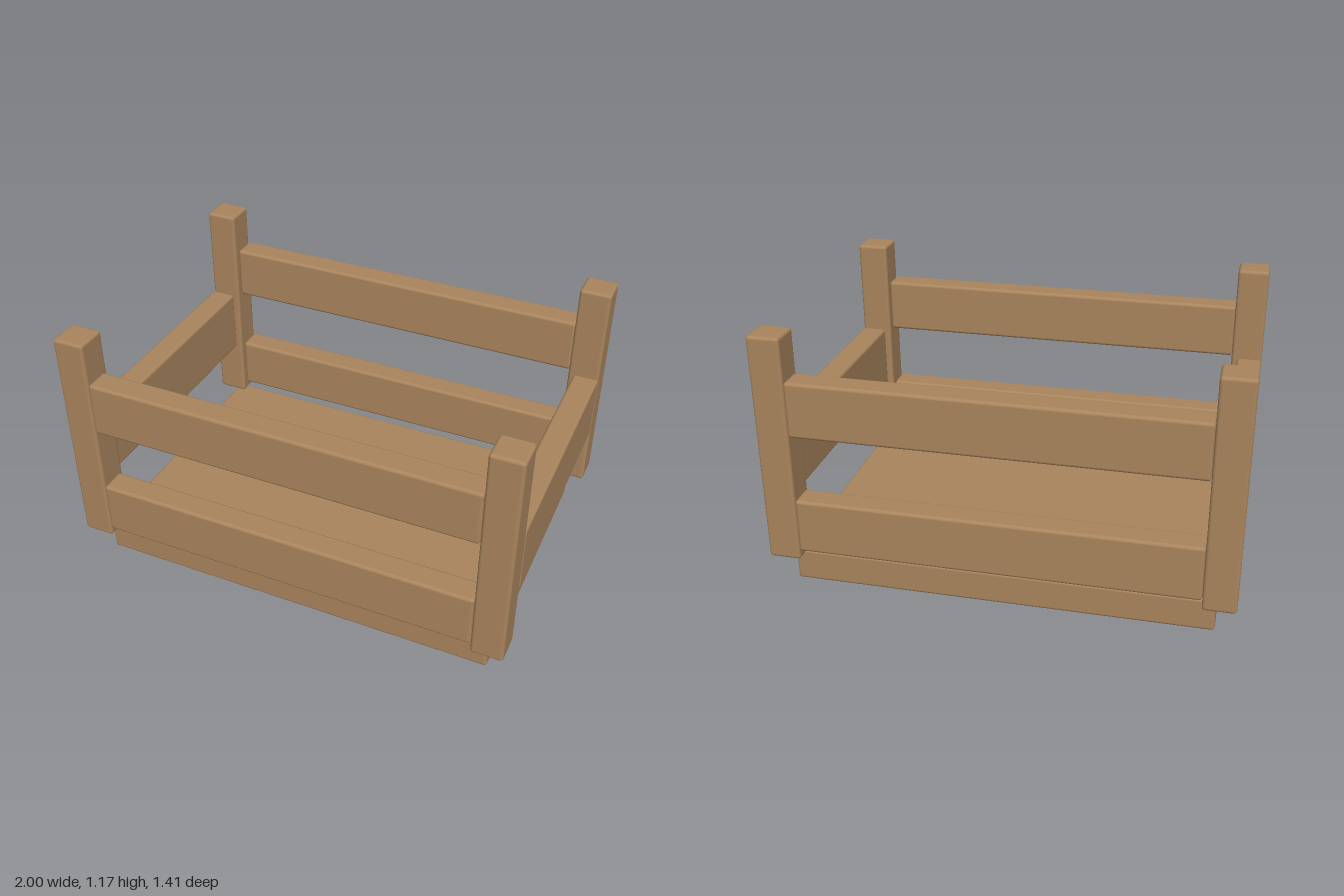
import * as THREE from 'three';
import { RoundedBoxGeometry } from 'three/addons/geometries/RoundedBoxGeometry.js';

export function createModel() {
  const crate = new THREE.Group();
  crate.name = 'woodenCrate';
  const wood = new THREE.MeshStandardMaterial({ color: 0xa9855d });
  wood.name = 'wood';

  // A softly rounded timber given by its centre and size
  function timber(name, [x, y, z], [w, h, d]) {
    const mesh = new THREE.Mesh(new RoundedBoxGeometry(w, h, d, 3, 0.014), wood);
    mesh.name = name;
    mesh.position.set(x, y, z);
    crate.add(mesh);
  }

  const halfX = 1, halfZ = 0.706; // outer half extents
  const post = 0.141, board = 0.115;

  // Floor board
  timber('floor', [0, 0.074, 0], [1.83, 0.148, 1.248]);

  // Corner posts
  for (const [side, sx] of [['left', 1], ['right', -1]]) {
    for (const [end, sz] of [['Front', 1], ['Back', -1]]) {
      timber(side + end + 'Post',
        [sx * (halfX - post / 2), 0.66, sz * (halfZ - post / 2)], [post, 1.02, post]);
    }
    // Wide rail on each short side
    timber(side + 'Rail', [sx * (halfX - board / 2), 0.585, 0],
      [board, 0.308, 2 * (halfZ - post)]);
  }

  // Two rails on the front and back
  for (const [end, sz] of [['front', 1], ['back', -1]]) {
    for (const [level, y] of [['Lower', 0.317], ['Upper', 0.858]]) {
      timber(end + level + 'Rail', [0, y, sz * (halfZ - board / 2)],
        [2 * (halfX - post), 0.246, board]);
    }
  }
  return crate;
}
